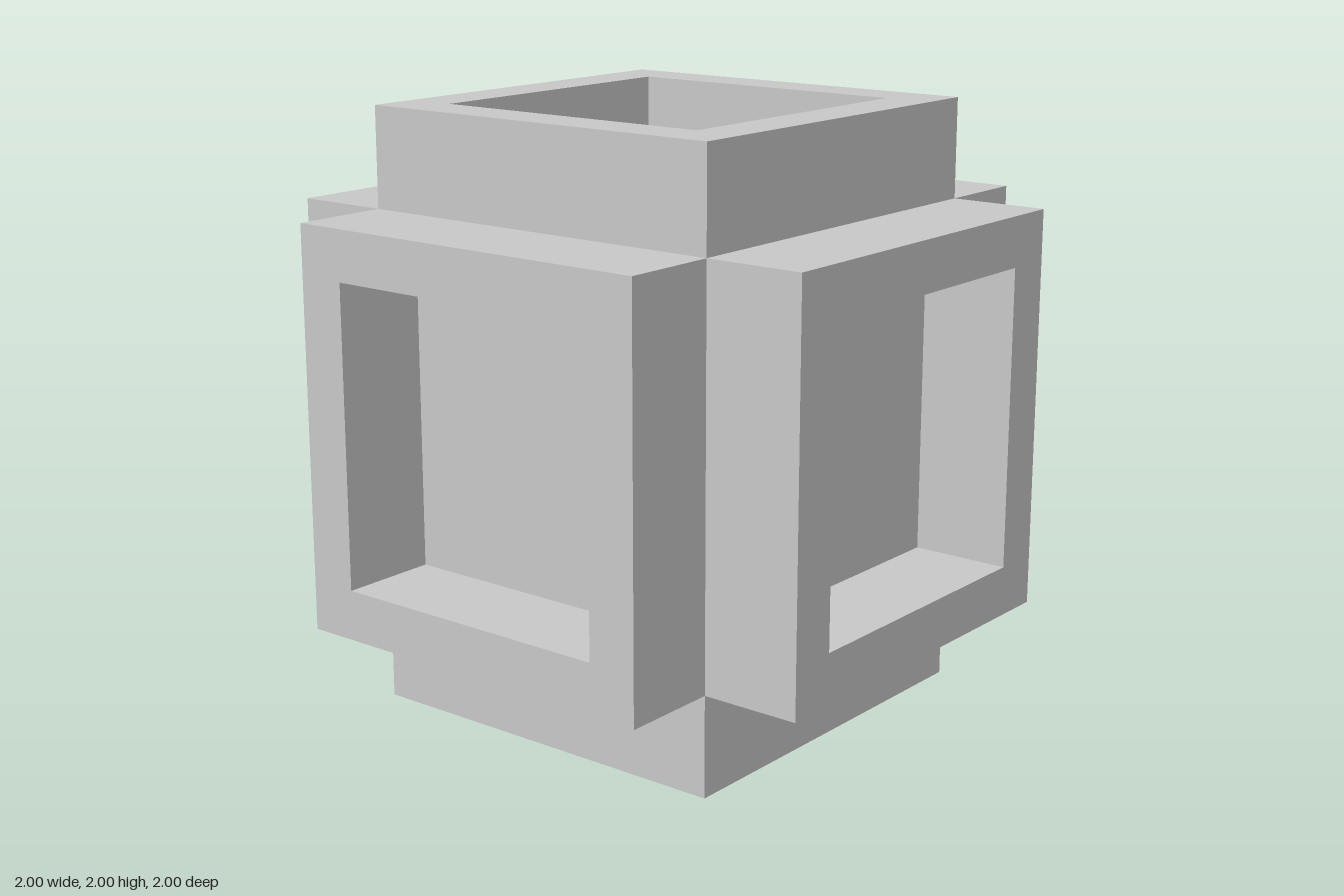
import * as THREE from 'three';

const CORE = 4 / 3;      // edge of the central cube
const OPENING = 1;       // edge of each square recess
const DEPTH = 1 / 3;     // how far each frame stands out

function square(Type, size) {
  const h = size / 2;
  return new Type([
    new THREE.Vector2(-h, -h), new THREE.Vector2(h, -h),
    new THREE.Vector2(h, h), new THREE.Vector2(-h, h),
  ]);
}

export function createModel() {
  const model = new THREE.Group();
  model.name = 'framedCube';
  const grey = new THREE.MeshStandardMaterial({ color: 0xc8c8c8 });
  grey.name = 'light grey';

  // Central cube, whose faces are the floors of the recesses
  const core = new THREE.Mesh(new THREE.BoxGeometry(CORE, CORE, CORE), grey);
  core.name = 'core';
  core.position.y = 1;
  model.add(core);

  // Square frame with an open middle, standing on the +z face of the core
  const outline = square(THREE.Shape, CORE);
  outline.holes.push(square(THREE.Path, OPENING));
  const frameGeometry = new THREE.ExtrudeGeometry(outline, { depth: DEPTH, bevelEnabled: false });
  frameGeometry.translate(0, 0, CORE / 2);

  // One frame on each of the six faces
  const turns = {
    frontFrame: [0, 0],
    leftFrame: [0, Math.PI / 2],
    backFrame: [0, Math.PI],
    rightFrame: [0, -Math.PI / 2],
    topFrame: [-Math.PI / 2, 0],
    bottomFrame: [Math.PI / 2, 0],
  };
  for (const [name, [rx, ry]] of Object.entries(turns)) {
    const frame = new THREE.Mesh(frameGeometry, grey);
    frame.name = name;
    frame.rotation.set(rx, ry, 0);
    frame.position.y = 1;
    model.add(frame);
  }
  return model;
}
